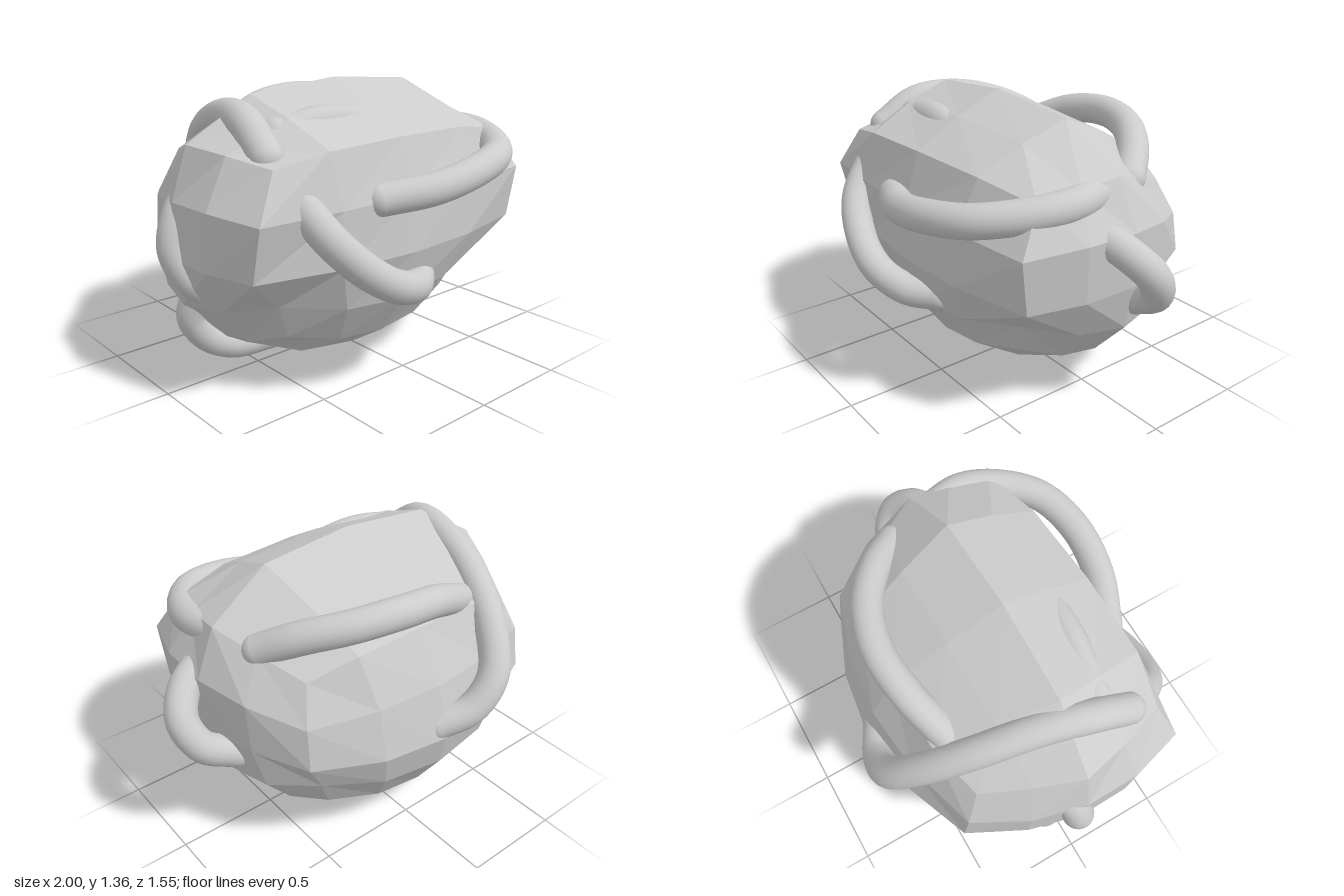
import * as THREE from 'three';
import { mergeGeometries } from 'three/addons/utils/BufferGeometryUtils.js';

const grey = { color: 0xcccccc };

// Upper half of the boulder: layers at the waist, shoulder and top,
// rows back to front, columns -x to +x
const CAGE = [
  [[[-0.73, 0.60, -0.51], [-0.05, 0.57, -0.69], [0.60, 0.60, -0.51]],
   [[-0.94, 0.63, 0.02], [0, 0.63, 0], [0.80, 0.63, 0.00]],
   [[-0.86, 0.63, 0.495], [-0.07, 0.63, 0.63], [0.72, 0.63, 0.52]]],
  [[[-0.725, 0.81, -0.48], [-0.05, 0.83, -0.62], [0.59, 0.80, -0.48]],
   [[-0.935, 0.89, 0.02], [0, 0.89, 0], [0.82, 0.90, 0.01]],
   [[-0.86, 0.88, 0.55], [-0.07, 0.89, 0.61], [0.735, 0.89, 0.555]]],
  [[[-0.66, 1.00, -0.40], [-0.05, 1.08, -0.49], [0.53, 0.98, -0.40]],
   [[-0.86, 1.13, 0.03], [-0.07, 1.36, 0.07], [0.72, 1.13, 0.02]],
   [[-0.74, 1.08, 0.48], [-0.07, 1.14, 0.53], [0.67, 1.08, 0.43]]],
];

// Weights of the three cage points along an axis: s shifts sideways, m holds the middle
const weights = (s, m) => [(1 - m - s) / 2, m, (1 - m + s) / 2];
const round = (t) => weights(t, 1 - t * t);
const ridge = (t) => weights(t, 1 - Math.abs(t) ** 1.2);
const flat = (t) => weights(t * (1.27 - 0.27 * t * t), 1 - Math.abs(t) ** 2.5);

// Lower half: plain ellipsoid
function bowl(q) {
  const d = new THREE.Vector3(...q.map((t) => Math.tan(t * Math.PI / 4))).normalize();
  return [d.x * 0.87 - 0.07, d.y * 0.63 + 0.63, d.z * 0.65 - 0.04];
}

// Point of the boulder for a point of the cube [-1, 1]^3; the top is a long roof-like ridge
function bend(q) {
  const [x, y, z] = q;
  if (y < 0) return bowl(q);
  const wx = (y === 1 ? flat : round)(x), wz = (y === 1 ? ridge : round)(z);
  const p = [0, 0, 0];
  for (let k = 0; k < 3; k++)
    for (let i = 0; i < 3; i++)
      for (let c = 0; c < 3; c++) p[c] += wx[i] * wz[k] * CAGE[2 * y][k][i][c];
  return p;
}

// Faceted boulder: a cube of 4 x 4 quads per side, bent into shape
function boulder() {
  const n = 4, pos = [], index = [];
  for (let axis = 0; axis < 3; axis++) {
    for (const side of [-1, 1]) {
      const base = pos.length / 3;
      for (let v = 0; v <= n; v++) {
        for (let u = 0; u <= n; u++) {
          const q = [0, 0, 0];
          q[axis] = side;
          q[(axis + 1) % 3] = (2 * u) / n - 1;
          q[(axis + 2) % 3] = (2 * v) / n - 1;
          pos.push(...bend(q));
        }
      }
      for (let v = 0; v < n; v++) {
        for (let u = 0; u < n; u++) {
          const a = base + v * (n + 1) + u, b = a + 1, c = b + n + 1, d = a + n + 1;
          if (side > 0) index.push(a, b, c, a, c, d);
          else index.push(a, c, b, a, d, c);
        }
      }
    }
  }
  const g = new THREE.BufferGeometry();
  g.setAttribute('position', new THREE.Float32BufferAttribute(pos, 3));
  g.setIndex(index);
  g.computeVertexNormals();
  return g;
}

// Round vine with domed ends
function vine(points, r = 0.076) {
  const pts = points.map((p) => new THREE.Vector3(...p));
  const tube = new THREE.TubeGeometry(new THREE.CatmullRomCurve3(pts), 64, r, 20, false);
  const caps = [pts[0], pts[pts.length - 1]].map((p) =>
    new THREE.SphereGeometry(r, 20, 14).translate(p.x, p.y, p.z));
  return mergeGeometries([tube, ...caps]);
}

const VINES = {
  upperFrontVine: [[-0.24, 0.89, 0.57], [0, 0.92, 0.67], [0.25, 0.965, 0.69], [0.48, 1.0, 0.62],
    [0.63, 1.03, 0.45], [0.69, 1.05, 0.27], [0.65, 1.06, 0.05]],
  lowerFrontVine: [[-0.64, 0.98, 0.45], [-0.56, 0.79, 0.61], [-0.42, 0.64, 0.675],
    [-0.25, 0.53, 0.685], [-0.07, 0.47, 0.63], [0.06, 0.46, 0.53]],
  leftLoopVine: [[0.73, 0.90, 0.14], [0.86, 0.83, 0.08], [0.925, 0.73, 0.0],
    [0.88, 0.61, -0.07], [0.73, 0.52, -0.10]],
  topBackVine: [[-0.40, 1.05, -0.38], [-0.15, 1.16, -0.46], [0.08, 1.195, -0.48],
    [0.30, 1.18, -0.42], [0.48, 1.13, -0.29], [0.60, 1.05, -0.15]],
  crossingVine: [[-0.05, 0.61, -0.62], [-0.20, 0.67, -0.69], [-0.33, 0.80, -0.69],
    [-0.43, 0.97, -0.56], [-0.52, 1.13, -0.33], [-0.59, 1.22, -0.05], [-0.65, 1.21, 0.18],
    [-0.68, 1.10, 0.36]],
  rightSideVine: [[-0.80, 0.92, -0.05], [-0.89, 0.80, -0.02], [-0.925, 0.67, 0.0],
    [-0.88, 0.54, 0.04], [-0.79, 0.46, 0.07]],
  lowerRightVine: [[-0.78, 0.43, -0.05], [-0.805, 0.30, -0.08], [-0.74, 0.19, -0.07],
    [-0.62, 0.125, -0.04], [-0.42, 0.115, -0.02]],
  buriedTopVine: [[-0.55, 1.165, 0.25], [-0.30, 1.2, 0.28], [-0.05, 1.17, 0.30]],
};

export function createModel() {
  const model = new THREE.Group();
  model.name = 'vineBoulder';

  const body = new THREE.Mesh(boulder(),
    new THREE.MeshStandardMaterial({ ...grey, flatShading: true }));
  body.name = 'boulder';
  model.add(body);

  const smooth = new THREE.MeshStandardMaterial(grey);
  for (const [name, points] of Object.entries(VINES)) {
    const mesh = new THREE.Mesh(vine(points), smooth);
    mesh.name = name;
    model.add(mesh);
  }
  return model;
}
